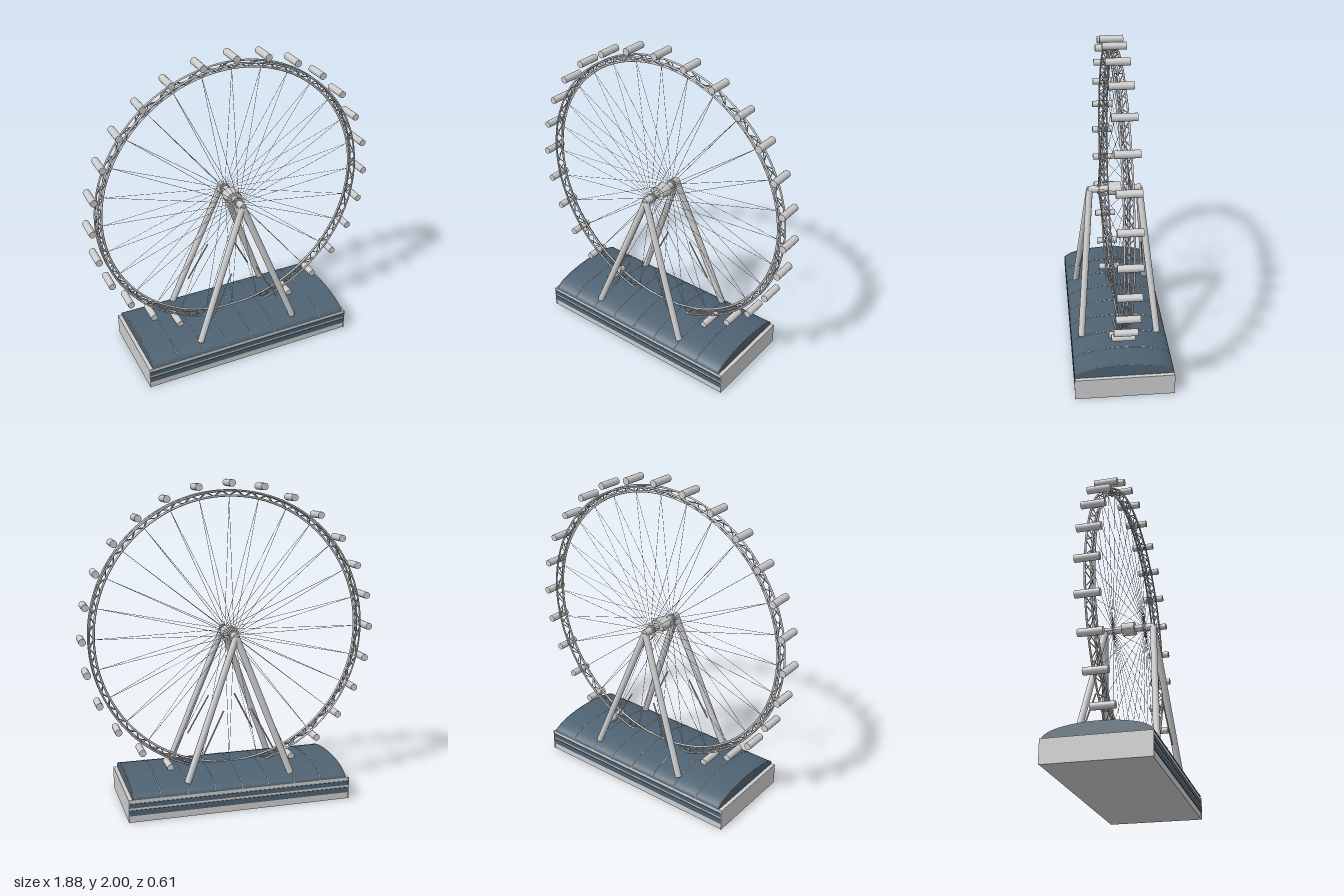
import * as THREE from 'three';
import { mergeGeometries } from 'three/addons/utils/BufferGeometryUtils.js';

const HUB_Y = 1.06, PODS = 28, SEGS = 56;
const V = (x, y, z) => new THREE.Vector3(x, y, z);

// straight round bar between two points
function bar(a, b, r, sides = 6) {
  const d = b.clone().sub(a);
  const g = new THREE.CylinderGeometry(r, r, d.length(), sides);
  g.applyQuaternion(new THREE.Quaternion().setFromUnitVectors(V(0, 1, 0), d.normalize()));
  return g.translate((a.x + b.x) / 2, (a.y + b.y) / 2, (a.z + b.z) / 2);
}

// cylinder lying along z, centred on the given point
function drum(r, len, sides, x = 0, y = 0, z = 0) {
  return new THREE.CylinderGeometry(r, r, len, sides).rotateX(Math.PI / 2).translate(x, y, z);
}

// point on the wheel
const polar = (r, a, z) => V(r * Math.cos(a), r * Math.sin(a), z);

export function createModel() {
  const root = new THREE.Group();
  const grey = new THREE.MeshStandardMaterial({ color: 0xcccccc });
  const slate = new THREE.MeshStandardMaterial({ color: 0x4e6272 });
  const add = (parent, name, geos, mat = grey) => {
    const mesh = new THREE.Mesh(Array.isArray(geos) ? mergeGeometries(geos) : geos, mat);
    mesh.name = name;
    parent.add(mesh);
    return mesh;
  };

  // terminal building
  const building = new THREE.Group();
  building.name = 'building';
  root.add(building);
  add(building, 'base', new THREE.BoxGeometry(1.4, 0.14, 0.6).translate(0, 0.07, 0));
  const bands = [];
  for (const [y, h] of [[0.059, 0.034], [0.104, 0.027]])
    bands.push(new THREE.BoxGeometry(1.404, h, 0.608).translate(0, y, 0));
  for (const s of [-1, 1])
    add(building, 'endWall', new THREE.BoxGeometry(0.004, 0.14, 0.61).translate(s * 0.702, 0.07, 0));
  add(building, 'windowBands', bands, slate);

  // vaulted roof
  const arch = new THREE.Shape();
  arch.absellipse(0, 0, 0.303, 0.08, 0, Math.PI, false);
  arch.closePath();
  const roof = new THREE.ExtrudeGeometry(arch, { depth: 1.36, bevelEnabled: false, curveSegments: 24 });
  add(building, 'roof', roof.translate(0, 0, -0.68).rotateY(Math.PI / 2).translate(0, 0.14, 0), slate);

  // thin ribs across the roof
  const ribs = [];
  for (let i = 0; i <= 8; i++) {
    const pts = [];
    for (let j = 0; j <= 20; j++) {
      const a = (j / 20) * Math.PI;
      pts.push(V(-0.678 + i * 0.1695, 0.14 + 0.08 * Math.sin(a), 0.303 * Math.cos(a)));
    }
    ribs.push(new THREE.TubeGeometry(new THREE.CatmullRomCurve3(pts), 32, 0.0025, 5));
  }
  add(building, 'roofRibs', ribs);

  // A-frame legs with short braces, mirrored to four corners
  const legs = [], braces = [];
  for (const sx of [-1, 1]) for (const sz of [-1, 1]) {
    legs.push(bar(V(0, HUB_Y, sz * 0.155), V(sx * 0.33, 0.19, sz * 0.24), 0.021, 10));
    braces.push(bar(V(sx * 0.088, 0.61, sz * 0.185), V(sx * 0.222, 0.355, sz * 0.215), 0.005));
  }
  add(root, 'supportLegs', legs);
  add(root, 'braces', braces);

  // wheel, built around its own axis
  const wheel = new THREE.Group();
  wheel.name = 'wheel';
  wheel.position.y = HUB_Y;
  root.add(wheel);
  add(wheel, 'axle', drum(0.022, 0.33, 16));
  add(wheel, 'hub', drum(0.05, 0.08, 16).scale(1, 0.8, 1));
  add(wheel, 'hubFlanges', [-1, 1].map(s => drum(0.03, 0.014, 16, 0, 0, s * 0.1)));

  // triangular truss rim: two outer rails and one inner rail
  const rails = [-0.027, 0.027].map(z => new THREE.TorusGeometry(0.873, 0.006, 6, 112).translate(0, 0, z));
  rails.push(new THREE.TorusGeometry(0.842, 0.007, 6, 112));
  add(wheel, 'rimRails', rails);

  const lattice = [];
  for (let i = 0; i < SEGS; i++) {
    const a = (i / SEGS) * Math.PI * 2, step = (Math.PI * 2) / SEGS;
    const side = i % 2 ? 0.027 : -0.027;
    for (const z of [-0.027, 0.027]) {
      lattice.push(bar(polar(0.842, a, 0), polar(0.873, a + step / 2, z), 0.003, 5));
      lattice.push(bar(polar(0.873, a + step / 2, z), polar(0.842, a + step, 0), 0.003, 5));
    }
    lattice.push(bar(polar(0.873, a, side), polar(0.873, a + step, -side), 0.003, 5));
  }
  add(wheel, 'rimLattice', lattice);

  // cable spokes from both flanges and passenger capsules
  const spokes = [], pods = [];
  for (let i = 0; i < PODS; i++) {
    const a = (i / PODS) * Math.PI * 2;
    for (const s of [-1, 1])
      spokes.push(bar(polar(0.028, a, s * 0.1), polar(0.842, a, 0), 0.0013, 4));
    const p = polar(0.918, a, 0);
    pods.push(drum(0.022, 0.142, 14, p.x, p.y, 0));
  }
  add(wheel, 'spokes', spokes);
  add(wheel, 'capsules', pods);

  return root;
}
